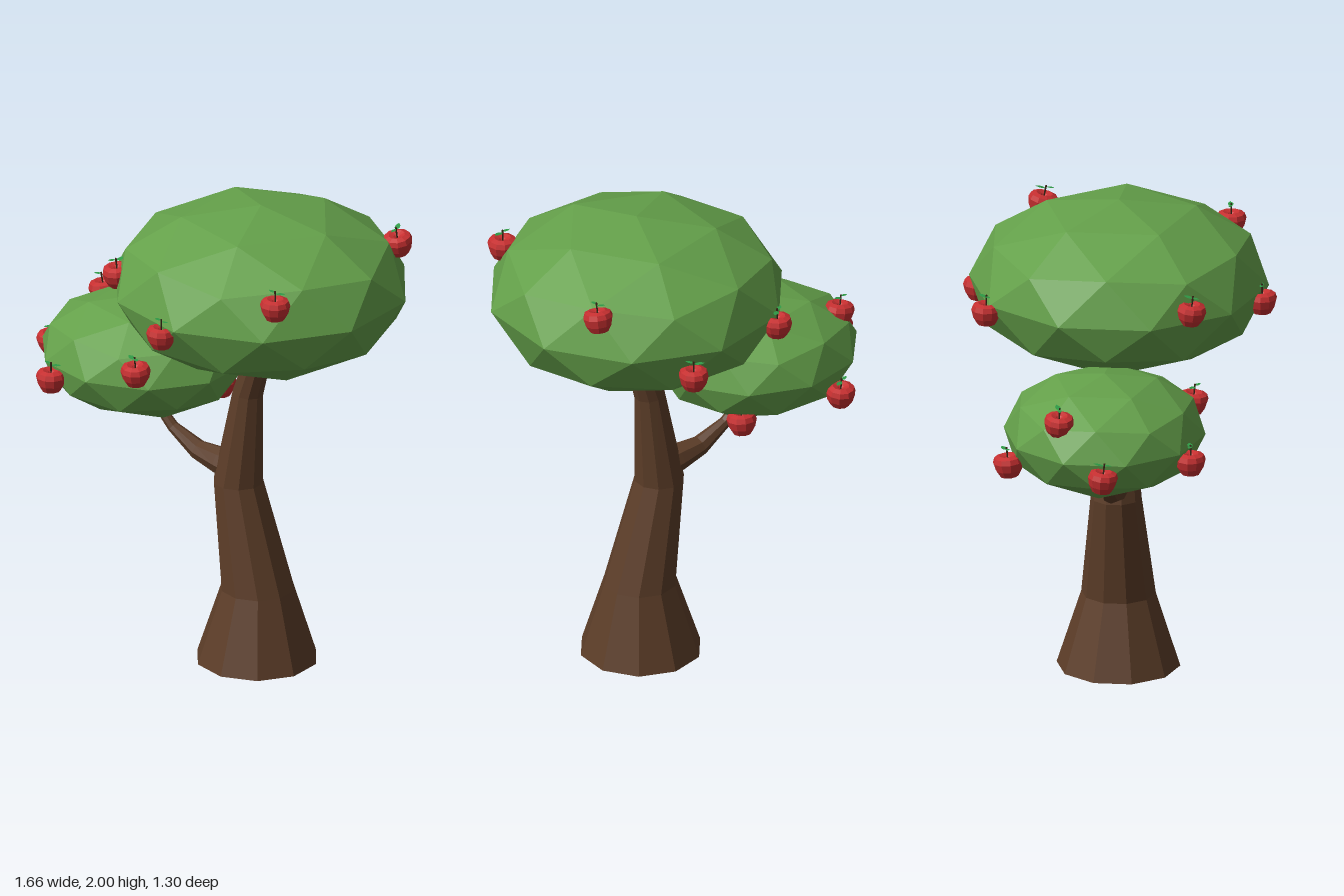
import * as THREE from 'three';

const mat = (color, extra = {}) => new THREE.MeshStandardMaterial({ color, flatShading: true, ...extra });
const bark = mat(0x5c3d28);
const foliage = mat(0x64a04a);
const appleRed = mat(0xc62f30);
const stemBrown = mat(0x3a2616);
const leafGreen = mat(0x2f9a46, { side: THREE.DoubleSide });

function named(name, geometry, material) {
  const mesh = new THREE.Mesh(geometry, material);
  mesh.name = name;
  return mesh;
}

// Closed faceted limb through rings of [x, y, radius, tilt about z]
function limb(rings, sides) {
  const pos = [], idx = [];
  for (const [x, y, r, tilt] of rings) {
    for (let i = 0; i < sides; i++) {
      const a = Math.PI / 2 + (i / sides) * Math.PI * 2;
      const c = r * Math.cos(a);
      pos.push(x + c * Math.cos(tilt), y + c * Math.sin(tilt), r * Math.sin(a));
    }
  }
  const last = (rings.length - 1) * sides;
  const bottom = rings.length * sides;
  pos.push(rings[0][0], rings[0][1], 0);
  pos.push(rings.at(-1)[0], rings.at(-1)[1], 0);
  for (let i = 0; i < sides; i++) {
    const n = (i + 1) % sides;
    for (let k = 0; k < last; k += sides) {
      idx.push(k + i, k + sides + i, k + n, k + n, k + sides + i, k + sides + n);
    }
    idx.push(bottom, i, n, bottom + 1, last + n, last + i);
  }
  const g = new THREE.BufferGeometry();
  g.setAttribute('position', new THREE.Float32BufferAttribute(pos, 3));
  g.setIndex(idx);
  const flat = g.toNonIndexed();
  flat.computeVertexNormals();
  return flat;
}

// Squashed icosphere with one corner pointing straight up
function canopy(name, center, size) {
  const g = new THREE.IcosahedronGeometry(1, 1);
  g.rotateZ(-Math.atan2(2, 1 + Math.sqrt(5)));
  g.scale(...size);
  g.computeVertexNormals();
  const mesh = named(name, g, foliage);
  mesh.position.set(...center);
  return mesh;
}

// Apple body: dimpled at both ends, widest above the middle
const bodyGeo = new THREE.LatheGeometry(
  [[0, -0.036], [0.018, -0.046], [0.038, -0.043], [0.054, -0.015], [0.062, 0.018],
    [0.055, 0.038], [0.034, 0.046], [0.014, 0.038], [0, 0.026]].map(p => new THREE.Vector2(...p)), 10);
const stemGeo = new THREE.CylinderGeometry(0.004, 0.003, 0.055, 5).translate(0, 0.052, 0);

// Leaf: pointed oval lying flat, drooping toward the tip
const leafShape = new THREE.Shape();
leafShape.moveTo(0, 0);
leafShape.quadraticCurveTo(0.02, 0.024, 0.046, 0);
leafShape.quadraticCurveTo(0.02, -0.024, 0, 0);
const leafGeo = new THREE.ShapeGeometry(leafShape, 3).rotateX(-Math.PI / 2);

function apple([x, y, z, yaw, tiltX = 0, tiltZ = 0]) {
  const g = new THREE.Group();
  g.name = 'apple';
  g.add(named('appleBody', bodyGeo, appleRed), named('appleStem', stemGeo, stemBrown));
  for (const [turn, scale, h] of [[0, 1, 0.068], [Math.PI * 0.9, 0.75, 0.073]]) {
    const leaf = named('appleLeaf', leafGeo, leafGreen);
    leaf.position.y = h;
    leaf.rotation.set(0, turn, 0.1);
    leaf.scale.setScalar(scale);
    g.add(leaf);
  }
  g.position.set(x, y, z);
  g.rotation.set(tiltX, yaw, tiltZ);
  return g;
}

export function createModel() {
  const tree = new THREE.Group();
  tree.name = 'appleTree';

  // Trunk and side branch
  tree.add(named('trunk', limb([
    [0.22, 0, 0.252, 0], [0.223, 0.31, 0.152, 0], [0.128, 0.755, 0.104, 0],
    [0.176, 1.155, 0.064, -0.1], [0.245, 1.38, 0.05, -0.25],
  ], 10), bark));
  tree.add(named('branch', limb([
    [0.12, 0.81, 0.065, 1.45], [0.04, 0.822, 0.058, 1.4], [-0.073, 0.842, 0.041, 1.25],
    [-0.196, 0.912, 0.024, 0.9], [-0.3, 1.02, 0.018, 0.75],
  ], 8), bark));

  // Foliage
  tree.add(canopy('upperCanopy', [0.24, 1.652, 0], [0.615, 0.347, 0.611]));
  tree.add(canopy('lowerCanopy', [-0.34, 1.215, 0], [0.436, 0.246, 0.411]));

  // Apples: x, y, z, yaw, tilts
  const apples = [
    [0.165, 1.605, 0.59, 0.3], [0.61, 1.78, 0.42, 0.2], [-0.23, 1.69, 0.34, 1.2, 0, 0.12],
    [0.36, 1.55, -0.585, 2.6], [0.67, 1.81, -0.355, 1.9, 0.2], [-0.105, 1.615, -0.505, 0.8],
    [-0.54, 1.16, 0.37, 0.2], [-0.14, 1.275, 0.34, 2.8, 0.1], [-0.65, 1.345, -0.155, 0.4, 0, 0.15],
    [-0.775, 1.155, 0.035, 1.5, 0, 0.1], [-0.505, 1.11, -0.375, 0.6, -0.1], [-0.12, 1.035, -0.23, 2.2, 0.1],
  ];
  for (const a of apples) tree.add(apple(a));
  return tree;
}
